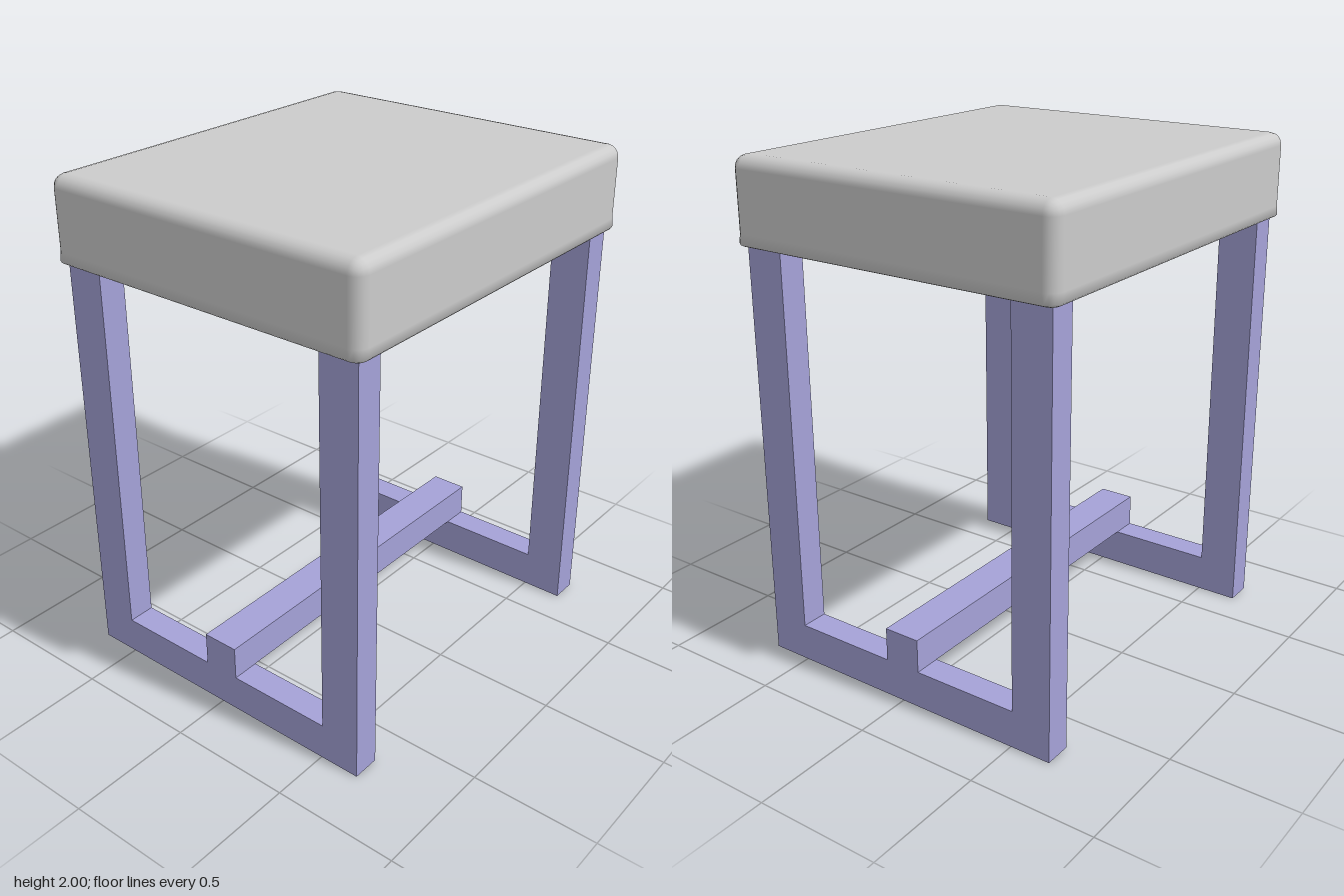
import * as THREE from 'three';
import { RoundedBoxGeometry } from 'three/addons/geometries/RoundedBoxGeometry.js';

const W = 0.765, D = 0.665, SEAT_Y = 1.665;

export function createModel() {
  const group = new THREE.Group();
  const cushionMat = new THREE.MeshStandardMaterial({ color: 0xcccccc });
  const frameMat = new THREE.MeshStandardMaterial({ color: 0xa5a2d8 });

  const add = (name, geometry, material, x = 0, y = 0, z = 0) => {
    const mesh = new THREE.Mesh(geometry, material);
    mesh.name = name;
    mesh.position.set(x, y, z);
    group.add(mesh);
    return mesh;
  };

  // Cushion: soft edges, with a shallower roll along the bottom
  const h = 0.335, r = 0.05;
  const cushion = new RoundedBoxGeometry(1.6, h, 1.39, 2, r);
  const pos = cushion.attributes.position;
  for (let i = 0; i < pos.count; i++) {
    const up = pos.getY(i) + h / 2;
    if (up >= r) continue;
    const spread = 0.015 * (1 - up / r);
    pos.setXYZ(i,
      pos.getX(i) + Math.sign(pos.getX(i)) * spread,
      up * 0.5 - h / 2,
      pos.getZ(i) + Math.sign(pos.getZ(i)) * spread);
  }
  add('seatCushion', cushion, cushionMat, 0, 2 - h / 2, 0);

  // Thin panel under the cushion
  add('seatPanel', new THREE.BoxGeometry(2 * W, 0.02, 2 * D), frameMat, 0, SEAT_Y + 0.008, 0);

  // Side frames: two legs joined by a floor runner, cut as one U
  const u = new THREE.Shape([
    [-D, 0], [D, 0], [D, SEAT_Y], [0.505, SEAT_Y],
    [0.505, 0.15], [-0.505, 0.15], [-0.505, SEAT_Y], [-D, SEAT_Y],
  ].map(([z, y]) => new THREE.Vector2(z, y)));
  const frame = new THREE.ExtrudeGeometry(u, { depth: 0.11, bevelEnabled: false });
  frame.rotateY(Math.PI / 2);
  add('leftSideFrame', frame, frameMat, W - 0.11);
  add('rightSideFrame', frame, frameMat, -W);

  // Footrest bar resting on the runners
  add('footrestBar', new THREE.BoxGeometry(2 * W, 0.135, 0.15), frameMat, 0, 0.2175, 0);

  return group;
}
